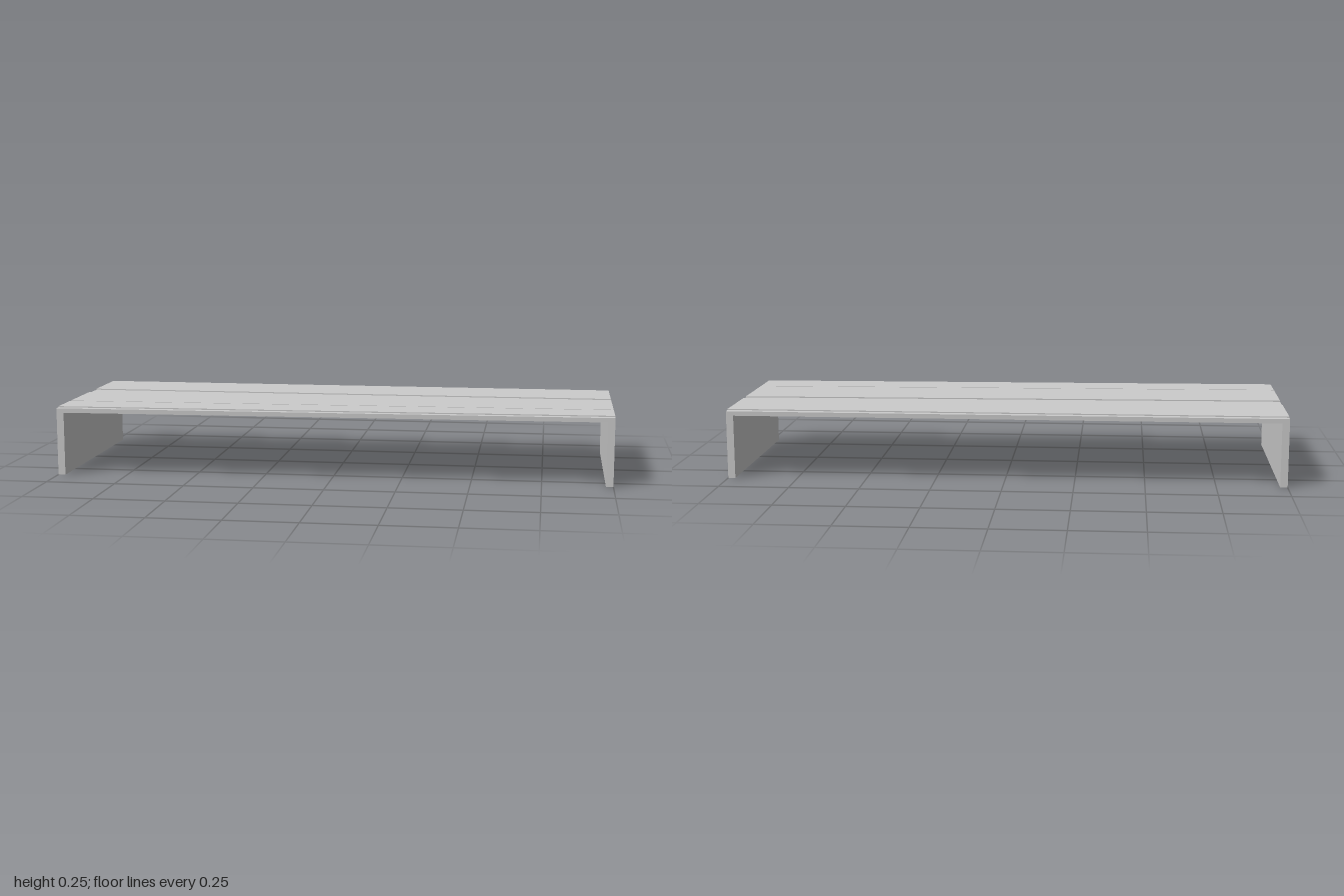
import * as THREE from 'three';

const SKEW = 0.0275; // front edges slant back towards +x
const BACK = -0.368;

export function createModel() {
  const group = new THREE.Group();
  const material = new THREE.MeshStandardMaterial({ color: 0xcccccc, flatShading: true });

  // Board whose plan is a quadrilateral; edges are given as z at x = 0 plus a slant flag
  function board(name, [x0, x1], [y0, y1], front, back, backSlants = false) {
    const zFront = (x) => front - SKEW * x;
    const zBack = (x) => back - (backSlants ? SKEW * x : 0);
    const plan = new THREE.Shape([
      new THREE.Vector2(x0, -zFront(x0)),
      new THREE.Vector2(x1, -zFront(x1)),
      new THREE.Vector2(x1, -zBack(x1)),
      new THREE.Vector2(x0, -zBack(x0)),
    ]);
    const geometry = new THREE.ExtrudeGeometry(plan, { depth: y1 - y0, bevelEnabled: false });
    geometry.rotateX(-Math.PI / 2).translate(0, y0, 0);
    const mesh = new THREE.Mesh(geometry, material);
    mesh.name = name;
    group.add(mesh);
    return mesh;
  }

  const top = 0.245, inner = 0.974;

  // Side panels and the shelf between them
  board('rightPanel', [-1, -inner], [0, top], 0.341, BACK);
  board('leftPanel', [inner, 1], [0, top], 0.341, BACK);
  board('shelf', [-inner, inner], [0.229, top], 0.341, BACK);

  // Thin raised planks, separated by grooves
  const raised = [top, 0.249];
  board('frontPlank', [-1, 1], raised, 0.316, 0.184, true);
  board('middlePlank', [-1, 1], raised, 0.177, -0.053, true);
  // Back plank has a straight front edge, so the groove before it tapers
  const backPlank = new THREE.Mesh(new THREE.BoxGeometry(2, 0.004, 0.229), material);
  backPlank.name = 'backPlank';
  backPlank.position.set(0, 0.247, -0.2275);
  group.add(backPlank);

  return group;
}
